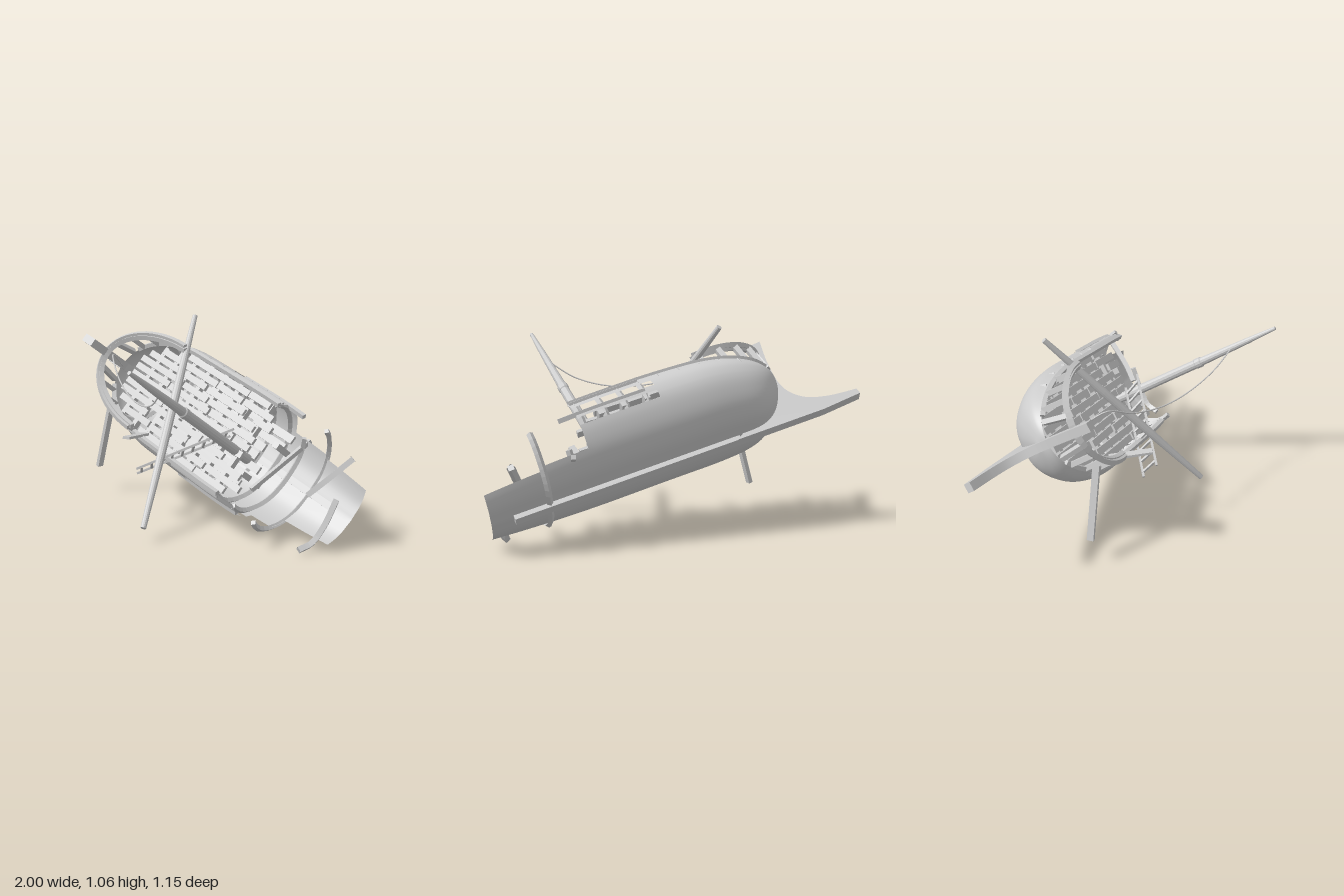
import * as THREE from 'three';

const mat = new THREE.MeshStandardMaterial({ color: 0xcccccc, side: THREE.DoubleSide });
const flat = new THREE.MeshStandardMaterial({ color: 0xcccccc, flatShading: true, side: THREE.DoubleSide });
const V = (x, y, z) => new THREE.Vector3(x, y, z);
let seed = 7;
const rnd = () => (seed = (seed * 16807) % 2147483647) / 2147483647;

function add(parent, geo, name, m = flat) {
  const mesh = new THREE.Mesh(geo, m);
  mesh.name = name;
  parent.add(mesh);
  return mesh;
}

// Box timber between two points, in the parent's frame
function timber(parent, p, q, w, h, name) {
  const m = add(parent, new THREE.BoxGeometry(w, h, p.distanceTo(q)), name);
  m.position.copy(p).lerp(q, 0.5);
  m.quaternion.setFromRotationMatrix(new THREE.Matrix4().lookAt(q, p, V(0, 1, 0)));
}

// Round spar with a radius profile, from p to q
function spar(parent, p, q, radii, name) {
  const len = p.distanceTo(q);
  const pts = [new THREE.Vector2(0, 0)];
  radii.forEach(([t, r]) => pts.push(new THREE.Vector2(r, t * len)));
  pts.push(new THREE.Vector2(0, len));
  const m = add(parent, new THREE.LatheGeometry(pts, 12), name);
  m.position.copy(p);
  m.quaternion.setFromUnitVectors(V(0, 1, 0), q.clone().sub(p).normalize());
}

// Square-section timber bent along points
function bent(parent, pts, r, name, segs = 16) {
  const curve = new THREE.CatmullRomCurve3(pts);
  add(parent, new THREE.TubeGeometry(curve, segs, r, 4), name);
  for (const t of [0, 1]) {
    const cap = add(parent, new THREE.CircleGeometry(r, 4), name + 'End');
    cap.position.copy(curve.getPoint(t));
    cap.quaternion.setFromUnitVectors(V(0, 0, 1), curve.getTangent(t));
  }
}

// Hull lines: half beam, keel height and sheer along the length (bow at -x)
const BOW = -0.77;
const half = (a) => a < -0.25
  ? 0.315 * Math.sqrt(Math.max(0, 1 - Math.pow((-0.25 - a) / 0.52, 2.3)))
  : 0.315 - 0.065 * Math.pow(Math.max(0, a - 0.2) / 0.7, 2);
const keelY = (a) => -0.15 + (a < -0.45 ? 0.22 * Math.pow((-0.45 - a) / 0.32, 3) : 0);
const topY = (a) => 0.185 - (a < 0 ? 0.1 * a * a : 0.03 * a);
const section = new THREE.CatmullRomCurve3([
  V(0, -0.15, 0), V(0.42, -0.13, 0), V(0.76, -0.06, 0), V(0.97, 0.04, 0), V(1, 0.11, 0), V(0.9, 0.2, 0)]);
function hullPoint(a, v, inset = 1) {
  const s = section.getPoint(Math.abs(v));
  const y = keelY(a) + ((s.y + 0.15) / 0.35) * (topY(a) - keelY(a));
  return V(a, y + (1 - inset) * 0.3, Math.sign(v) * s.x * half(a) * inset);
}

// Shell with broken stern and missing strakes
function shell(ship) {
  const NA = 56, NV = 60, pos = [], idx = [];
  const station = (i) => (i < 20 ? BOW + 0.4 * Math.pow(i / 20, 1.8) : -0.37 + 1.26 * (i - 20) / (NA - 20));
  for (let i = 0; i <= NA; i++) {
    for (let j = 0; j <= NV; j++) pos.push(...hullPoint(station(i), (j / NV) * 2 - 1).toArray());
  }
  for (let i = 0; i < NA; i++) for (let j = 0; j < NV; j++) {
    const a = station(i + 0.5), v = ((j + 0.5) / NV) * 2 - 1, s = Math.abs(v), star = v < 0;
    const stern = a > (star ? 0.36 : 0.48) && s > (star ? 0.36 : 0.5);
    const end = a > 0.6 && s > 0.34;
    const slot = a > (star ? -0.05 : 0.1) && ((s > 0.57 && s < 0.68) || (s > 0.76 && s < 0.87));
    if (stern || end || slot) continue;
    const k = i * (NV + 1) + j, n = k + NV + 1;
    idx.push(k, k + 1, n, n, k + 1, n + 1);
  }
  const g = new THREE.BufferGeometry();
  g.setAttribute('position', new THREE.Float32BufferAttribute(pos, 3));
  g.setIndex(idx);
  g.computeVertexNormals();
  add(ship, g, 'hullShell', mat);
}

// Stem post with forward spur, and the keel
function backbone(ship) {
  const s = new THREE.Shape();
  s.moveTo(-0.86, 0.42);
  s.splineThru([[-0.81, 0.24], [-0.79, 0.06], [-0.85, -0.05], [-0.97, -0.1], [-1.135, -0.12]].map((p) => new THREE.Vector2(...p)));
  [[-1.135, -0.155], [-0.9, -0.175], [-0.4, -0.175], [-0.45, -0.14], [-0.6, -0.1], [-0.7, 0.0], [-0.74, 0.12], [-0.75, 0.25], [-0.785, 0.41]].forEach((p) => s.lineTo(...p));
  const g = new THREE.ExtrudeGeometry(s, { depth: 0.046, bevelEnabled: false, curveSegments: 16 });
  add(ship, g, 'stemPost').position.z = -0.023;
  timber(ship, V(-0.42, -0.158, 0), V(0.78, -0.158, 0), 0.04, 0.034, 'keel');
}

function ribs(ship) {
  const rib = (a, v0, v1, inset = 0.93) => {
    const pts = [];
    for (let k = 0; k <= 12; k++) pts.push(hullPoint(a, v0 + ((v1 - v0) * k) / 12, inset));
    bent(ship, pts, 0.016, 'rib', 24);
  };
  for (let a = -0.55; a < 0.3; a += 0.11) rib(a, -0.9, 0.9);
  rib(0.34, -0.95, 0.93);
  rib(0.45, -0.4, 0.85);
  rib(0.6, -0.72, 0.9, 1.02);
}

// Gunwales, broken strakes and the raised bow railing
function rails(ship) {
  for (const s of [-1, 1]) {
    const pts = [];
    for (let a = -0.72; a < 0.4; a += 0.06) pts.push(hullPoint(a, s, 0.98));
    bent(ship, pts, 0.016, 'gunwale', 40);
    for (const [v, e] of [[0.72, 0.47], [0.95, 0.4]]) {
      const w = [];
      for (let a = 0.0; a <= e; a += 0.09) w.push(hullPoint(a, s * v, 0.98));
      bent(ship, w, 0.016, 'brokenStrake', 10);
    }
  }
  const railPoint = (t) => {
    const c = Math.cos((t * Math.PI) / 2);
    return V(-0.34 - 0.43 * c, 0.235 + 0.055 * c, 0.262 * Math.sin((t * Math.PI) / 2));
  };
  const top = [];
  for (let k = -9; k <= 9; k++) top.push(railPoint(k / 9));
  for (const o of [-0.01, 0.01]) {
    bent(ship, top.map((p) => V(p.x - o * 0.5, p.y + o * 0.4, p.z * (1 + o * 3))), 0.018, 'bowRail', 36);
  }
  for (let k = -5; k <= 5; k++) {
    const p = railPoint(k / 5.2);
    const q = hullPoint(Math.max(p.x, -0.74), k < 0 ? -0.97 : 0.97, 0.95);
    if (k) timber(ship, q, p, 0.03, 0.026, 'railPost');
  }
}

// Broken deck over cross beams, with scattered planks below
function deck(ship) {
  for (let a = -0.6; a <= 0.3; a += 0.12) {
    const w = half(a) * 0.93;
    timber(ship, V(a, 0.055, -w), V(a, 0.055, w), 0.03, 0.035, 'deckBeam');
  }
  for (let r = -5; r <= 5; r++) {
    const z = r * 0.05;
    let a = -0.7;
    while (half(a) * 0.92 < Math.abs(z) + 0.03) a += 0.02;
    const end = 0.26 + 0.16 * rnd();
    while (a < end - 0.05) {
      const b = Math.min(end, a + 0.18 + 0.34 * rnd());
      const y = 0.085 + 0.012 * rnd();
      timber(ship, V(a, y, z), V(b, y + 0.01 * (rnd() - 0.5), z + 0.012 * (rnd() - 0.5)), 0.037, 0.018, 'deckPlank');
      a = b + (rnd() < 0.4 ? 0.09 : 0.012);
    }
  }
  for (let r = -3; r <= 3; r++) {
    const a = -0.5 + 0.25 * rnd();
    timber(ship, V(a, -0.05, r * 0.058), V(0.25 + 0.15 * rnd(), -0.05, r * 0.058), 0.045, 0.016, 'lowerPlank');
  }
  for (const [a, z] of [[-0.3, 0.1], [0.05, -0.12], [0.3, 0.12], [0.38, -0.1]]) {
    timber(ship, V(a, -0.12, z), V(a + 0.02, 0.06, z), 0.032, 0.032, 'deckPillar');
  }
}

export function createModel() {
  const root = new THREE.Group();
  root.name = 'shipwreck';

  // Heeled hull, in its own upright frame
  const ship = new THREE.Group();
  ship.name = 'hull';
  const Y = V(0.164, 0.55, 0.82).normalize();
  const Z = V(0.965, -0.26, -0.02).cross(Y).normalize();
  ship.quaternion.setFromRotationMatrix(new THREE.Matrix4().makeBasis(Y.clone().cross(Z), Y, Z));
  ship.position.set(0.118, 0.466, -0.336);
  [shell, backbone, ribs, rails, deck].forEach((f) => f(ship));
  root.add(ship);

  // Mast and fallen yard
  spar(root, V(0.32, 0.33, -0.38), V(0.51, 0.97, 0.57), [[0, 0.028], [0.57, 0.026], [0.575, 0.029], [0.6, 0.029], [0.605, 0.024], [0.85, 0.017], [1, 0.01]], 'mast');
  spar(root, V(0.24, 0.08, 0.285), V(-0.205, 1.05, -0.43), [[0, 0.015], [0.35, 0.023], [0.65, 0.023], [1, 0.014]], 'fallenYard');

  // Slack rope from mast to bow rail
  const rope = new THREE.CatmullRomCurve3([V(0.475, 0.84, 0.36), V(0.33, 0.745, 0.3), V(0.15, 0.7, 0.23),
    V(-0.05, 0.71, 0.16), V(-0.25, 0.77, 0.08), V(-0.4, 0.85, 0.0), V(-0.47, 0.76, -0.12)]);
  add(root, new THREE.TubeGeometry(rope, 40, 0.004, 6), 'rope', mat);

  // Ladder
  const a0 = V(-0.09, 0.25, 0.07), a1 = V(0.33, 0.5, -0.22), b0 = V(-0.03, 0.3, 0.12), b1 = V(0.4, 0.56, -0.18);
  timber(root, a0, a1, 0.012, 0.012, 'ladderSide');
  timber(root, b0, b1, 0.012, 0.012, 'ladderSide');
  for (let k = 0; k < 9; k++) {
    const t = 0.05 + k * 0.11;
    timber(root, a0.clone().lerp(a1, t), b0.clone().lerp(b1, t), 0.012, 0.012, 'ladderRung');
  }

  // Loose boards and the torn stern frames
  timber(root, V(-0.46, 0.56, -0.03), V(-0.575, 0.16, -0.02), 0.036, 0.022, 'looseBoard');
  timber(root, V(-0.21, 0.42, -0.08), V(-0.11, 0.455, 0.13), 0.04, 0.014, 'looseBoard');
  bent(root, [V(0.835, 0.02, -0.23), V(0.855, 0.045, -0.3), V(0.88, 0.13, -0.36), V(0.9, 0.26, -0.42)], 0.02, 'sternFrame');
  bent(root, [V(0.76, 0.26, -0.36), V(0.81, 0.33, -0.43), V(0.875, 0.44, -0.56)], 0.02, 'sternFrame');
  timber(root, V(0.52, 0.26, -0.2), V(0.58, 0.47, -0.56), 0.022, 0.022, 'looseBeam');
  return root;
}
